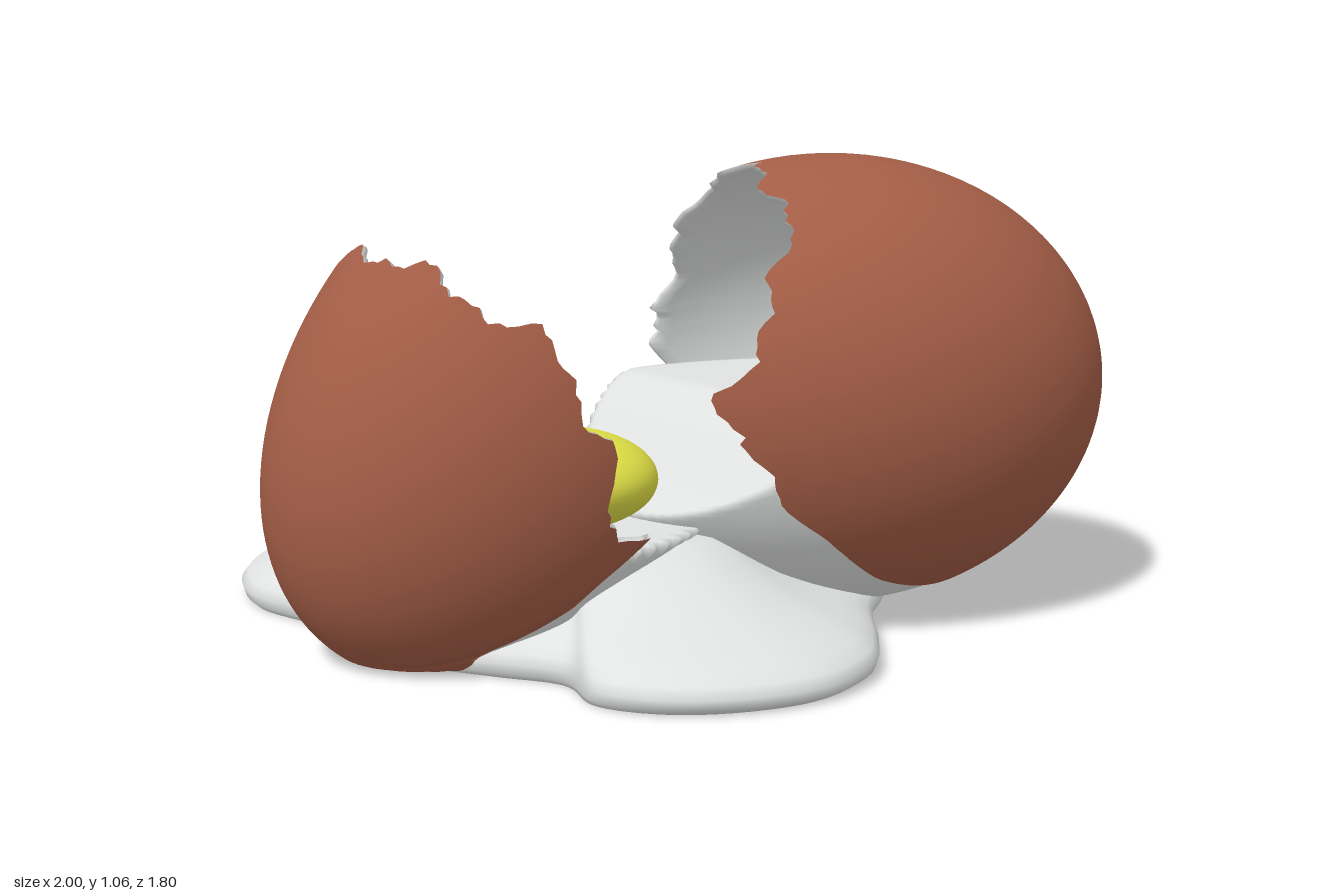
import * as THREE from 'three';

const V = (x, y, z) => new THREE.Vector3(x, y, z);
const smooth = THREE.MathUtils.smoothstep;
const SEG = 180;

// Closed ring-by-ring surface; point(i, j) gives the point for angle step i and ring j
function loft(rings, point, flip = false) {
  const pos = [], idx = [];
  for (let j = 0; j < rings; j++)
    for (let i = 0; i < SEG; i++) pos.push(...point(i, j).toArray());
  for (let j = 0; j < rings - 1; j++)
    for (let i = 0; i < SEG; i++) {
      const a = j * SEG + i, b = j * SEG + (i + 1) % SEG, c = a + SEG, d = b + SEG;
      if (flip) idx.push(a, c, b, b, c, d);
      else idx.push(a, b, c, b, d, c);
    }
  const g = new THREE.BufferGeometry();
  g.setAttribute('position', new THREE.Float32BufferAttribute(pos, 3));
  g.setIndex(idx);
  g.computeVertexNormals();
  return g;
}

// Piecewise linear lookup in [[x, y], ...]
function lookup(table, x) {
  for (let k = 1; k < table.length; k++)
    if (x <= table[k][0]) {
      const [x0, y0] = table[k - 1], [x1, y1] = table[k];
      return y0 + (y1 - y0) * (x - x0) / (x1 - x0);
    }
  return table[table.length - 1][1];
}

// Repeatable broken-edge offsets, fading out where the edge sinks into the white
function jagged(seed) {
  let s = seed;
  const rnd = () => (s = (s * 16807) % 2147483647) / 2147483647 - 0.5;
  const fine = Array.from({ length: SEG }, rnd);
  return (i) => {
    const a = i / SEG * Math.PI * 2;
    const wave = 0.018 * Math.sin(11 * a + seed) + 0.012 * Math.sin(23 * a + 2) + 0.02 * fine[i];
    return wave * smooth(Math.cos(a), -0.7, -0.3);
  };
}

// Egg half: centre c, axis d toward the closed end, side "up" e, half length a,
// radii b (up) and w (sideways), rim position along the axis by angle,
// and surface level of the white inside
const eggs = [
  {
    name: 'largeShell', c: V(0.352, 0.53, 0.26), d: V(0.94, 0, 0.342), e: V(0, 1, 0),
    a: 0.663, b: 0.532, w: 0.525, seed: 7,
    rim: [[0, -0.2], [45, -0.22], [65, -0.3], [90, -0.39], [108, -0.3], [139, 0], [160, 0.29], [180, 0.41],
      [200, 0.29], [222, 0], [250, -0.25], [270, -0.3], [315, -0.27], [360, -0.2]],
    level: (x) => 0.26 + 0.25 * smooth(x, -0.25, 0.15),
  },
  {
    name: 'smallShell', c: V(-0.361, 0.569, 0.115), d: V(-1, -1, 0), e: V(-1, 1, 0),
    a: 0.74, b: 0.512, w: 0.465, seed: 3,
    rim: [[0, 0.085], [48, 0.1], [60, 0.22], [77, 0.23], [102, 0.24], [114, 0.22], [120, 0.6], [180, 0.65],
      [240, 0.6], [244, 0.2], [258, 0.225], [275, 0.135], [295, 0.055], [312, 0.07], [360, 0.085]],
    level: (x) => 0.26 + 0.16 * (1 - smooth(x, -0.8, -0.45)),
  },
];

export function createModel() {
  const group = new THREE.Group();
  const mat = (name, color) => Object.assign(new THREE.MeshStandardMaterial({ color }), { name });
  const shell = mat('brownShell', 0xa35d46);
  const white = mat('eggWhite', 0xdfe2e0);
  const yellow = mat('yolkYellow', 0xe0e046);
  const add = (name, geo, m) => {
    const mesh = new THREE.Mesh(geo, m);
    mesh.name = name;
    group.add(mesh);
    return mesh;
  };

  for (const egg of eggs) {
    const d = egg.d.clone().normalize(), e = egg.e.clone().normalize();
    const f = d.clone().cross(e);
    const at = (i, phi, k) => {
      const t = i / SEG * Math.PI * 2, r = k * Math.sin(phi);
      return egg.c.clone().addScaledVector(d, egg.a * k * Math.cos(phi))
        .addScaledVector(e, egg.b * r * Math.cos(t)).addScaledVector(f, egg.w * r * Math.sin(t));
    };
    const jag = jagged(egg.seed);
    const rimPhi = (i) => Math.acos((lookup(egg.rim, i / SEG * 360) + jag(i)) / egg.a);
    const floor = (p, y) => { p.y = Math.max(p.y, y); return p; };

    // Outer skin, then broken edge and inner lining
    const R = 32;
    add(egg.name, loft(R, (i, j) => floor(at(i, rimPhi(i) * (1 - j / (R - 1)), 1), 0.008)), shell);
    add(egg.name + 'Lining', loft(R + 1, (i, j) => j === 0
      ? floor(at(i, rimPhi(i), 1), 0.008)
      : floor(at(i, rimPhi(i) * (1 - (j - 1) / (R - 1)), 0.975), 0.012), true), white);

    // White pooled in the shell: each ray from a low inner point stops at the surface level
    const q = V(egg.c.x, 0.1, egg.c.z);
    add(egg.name + 'Filling', loft(70, (i, j) => {
      const p = at(i, Math.PI * (1 - j / 69), 0.987), out = p.clone();
      if (p.y > egg.level(p.x)) {
        let lo = 0, hi = 1;
        for (let n = 0; n < 24; n++) {
          const mid = (lo + hi) / 2;
          out.lerpVectors(q, p, mid);
          if (out.y > egg.level(out.x)) hi = mid;
          else lo = mid;
        }
      }
      return floor(out, 0);
    }), white);
  }

  // White spilled on the ground: a lobed outline, rounded edge and a mound in the middle
  const outline = new THREE.CatmullRomCurve3([
    [-0.25, -0.9], [-0.55, -0.82], [-0.75, -0.64], [-0.83, -0.42], [-0.79, -0.22], [-0.78, 0], [-0.75, 0.2],
    [-0.64, 0.38], [-0.55, 0.52], [-0.57, 0.67], [-0.45, 0.82], [-0.2, 0.9], [0, 0.84], [0.13, 0.71],
    [0.27, 0.53], [0.5, 0.3], [0.46, 0], [0.53, -0.22], [0.52, -0.42], [0.42, -0.62], [0.25, -0.77], [0.05, -0.86],
  ].map(([x, z]) => V(x, 0, z)), true, 'centripetal');
  const edge = outline.getPoints(SEG);
  const profile = [[0, 0.27], [0.15, 0.268], [0.3, 0.25], [0.4, 0.215], [0.5, 0.187], [0.6, 0.163], [0.7, 0.14],
    [0.8, 0.115], [0.88, 0.093], [0.94, 0.075], [0.98, 0.056], [1, 0.035], [0.99, 0.012], [0.97, 0], [0, 0]];
  const topRings = 11;
  add('spilledWhite', loft(profile.length, (i, j) => {
    const [t, h] = profile[j];
    const frontRise = j < topRings ? 0.06 * Math.max(0, edge[i].z) * Math.exp(-(((t - 0.5) / 0.14) ** 2)) : 0;
    return V(-0.2 + (edge[i].x + 0.2) * t, h + frontRise, edge[i].z * t);
  }, true), white);

  // Yolk: a flattened ball
  const yolkGeo = new THREE.SphereGeometry(1, 48, 32);
  yolkGeo.scale(0.215, 0.112, 0.225);
  const yolk = add('yolk', yolkGeo, yellow);
  yolk.position.set(-0.315, 0.347, 0.135);

  return group;
}
